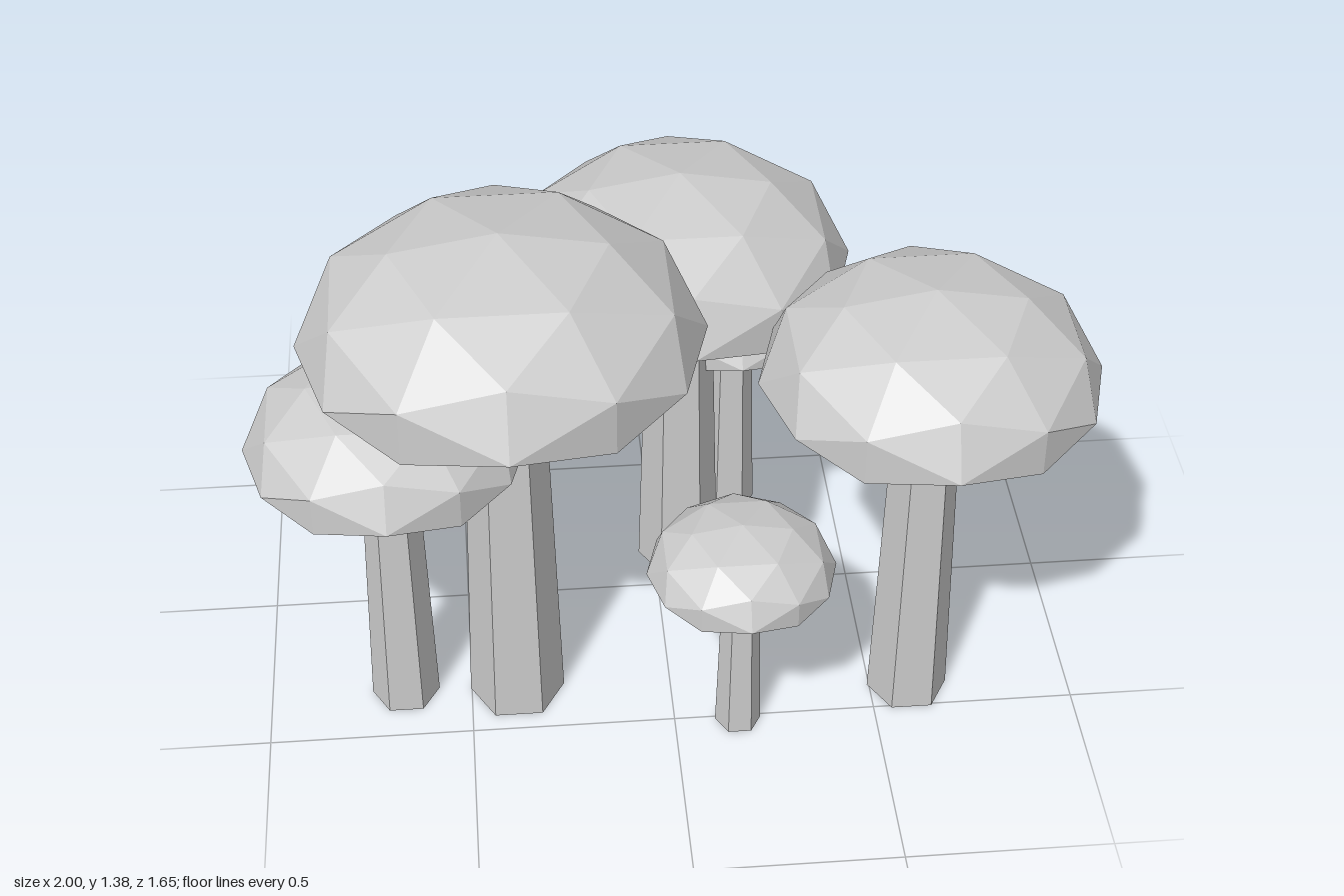
import * as THREE from 'three';

// Each mushroom: x, z, cap radius, height of the cap rim
const MUSHROOMS = [
  [-0.385, 0.35, 0.47, 1.10],
  [-0.665, 0.34, 0.335, 0.80],
  [0.595, 0.42, 0.40, 0.98],
  [0.065, -0.135, 0.42, 0.95],
  [0.165, -0.57, 0.26, 0.73],
  [-0.39, -0.435, 0.245, 0.585],
  [-0.50, -0.44, 0.205, 0.435],
  [0.22, -0.345, 0.285, 0.65],
  [0.157, 0.508, 0.227, 0.495],
];

// Faceted dome: a squashed icosphere with its underside pressed flat
function capGeometry() {
  const geo = new THREE.IcosahedronGeometry(1, 1);
  const pos = geo.attributes.position;
  for (let i = 0; i < pos.count; i++) {
    pos.setY(i, Math.max(pos.getY(i), -0.18) * 0.6);
  }
  geo.computeVertexNormals();
  return geo;
}

export function createModel() {
  const model = new THREE.Group();
  model.name = 'mushroomCluster';
  const grey = new THREE.MeshStandardMaterial({ color: 0xcccccc });
  grey.name = 'paleGrey';
  grey.flatShading = true;
  const capGeo = capGeometry();

  for (const [x, z, r, y] of MUSHROOMS) {
    const mushroom = new THREE.Group();
    mushroom.name = 'mushroom';
    mushroom.position.set(x, 0, z);

    const cap = new THREE.Mesh(capGeo, grey);
    cap.name = 'cap';
    cap.scale.setScalar(r);
    cap.position.y = y;

    // Six-sided stem, tapering upward into the cap, corners on the x axis
    const stemGeo = new THREE.CylinderGeometry(r * 0.19, r * 0.25, y, 6);
    stemGeo.rotateY(Math.PI / 6);
    const stem = new THREE.Mesh(stemGeo, grey);
    stem.name = 'stem';
    stem.position.y = y / 2;

    mushroom.add(stem, cap);
    model.add(mushroom);
  }
  return model;
}
